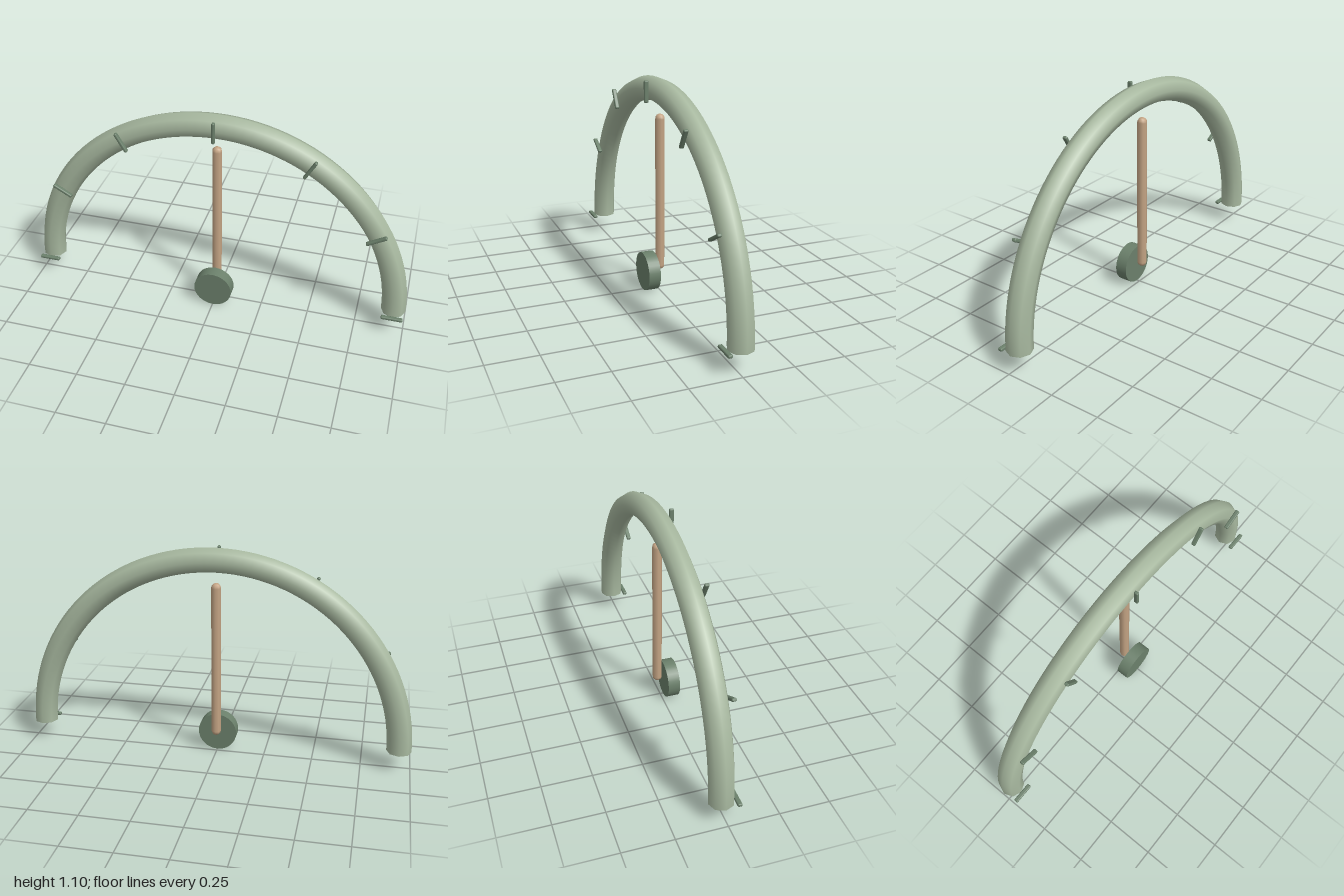
import * as THREE from 'three';
import { RoundedBoxGeometry } from 'three/addons/geometries/RoundedBoxGeometry.js';

const CENTER_Y = 0.103, ARC_Z = -0.016, RADIUS = 0.9375, TUBE = 0.0625;

export function createModel() {
  const sage = new THREE.MeshStandardMaterial({ name: 'sage', color: 0xa8b9a0, side: THREE.DoubleSide });
  const darkGreen = new THREE.MeshStandardMaterial({ name: 'darkGreen', color: 0x6b806b });
  const tan = new THREE.MeshStandardMaterial({ name: 'tan', color: 0xc4a484 });
  const group = new THREE.Group();
  group.name = 'gauge';

  const add = (name, geometry, material, x, y, z) => {
    const mesh = new THREE.Mesh(geometry, material);
    mesh.name = name;
    mesh.position.set(x, y, z);
    group.add(mesh);
    return mesh;
  };

  // Open-ended half ring with an eight-sided section
  add('dialArc', new THREE.TorusGeometry(RADIUS, TUBE, 8, 64, Math.PI), sage, 0, CENTER_Y, ARC_Z);

  // Seven radial tick marks on the front of the ring
  const tickGeometry = new RoundedBoxGeometry(0.11, 0.016, 0.023, 2, 0.006);
  for (let i = 0; i <= 6; i++) {
    const a = (i * Math.PI) / 6;
    const tick = add('tick' + (i + 1), tickGeometry, darkGreen,
      Math.cos(a) * RADIUS, CENTER_Y + Math.sin(a) * RADIUS, 0.056);
    tick.rotation.z = a;
  }

  // Round-ended needle standing behind the hub
  add('needle', new THREE.CapsuleGeometry(0.025, 0.775, 4, 8), tan, 0, 0.513, ARC_Z);

  // Hub disc facing forward
  const hub = add('hub', new THREE.CylinderGeometry(0.1, 0.1, 0.0625, 32), darkGreen, 0, 0.1, 0.0475);
  hub.rotation.x = Math.PI / 2;

  return group;
}
